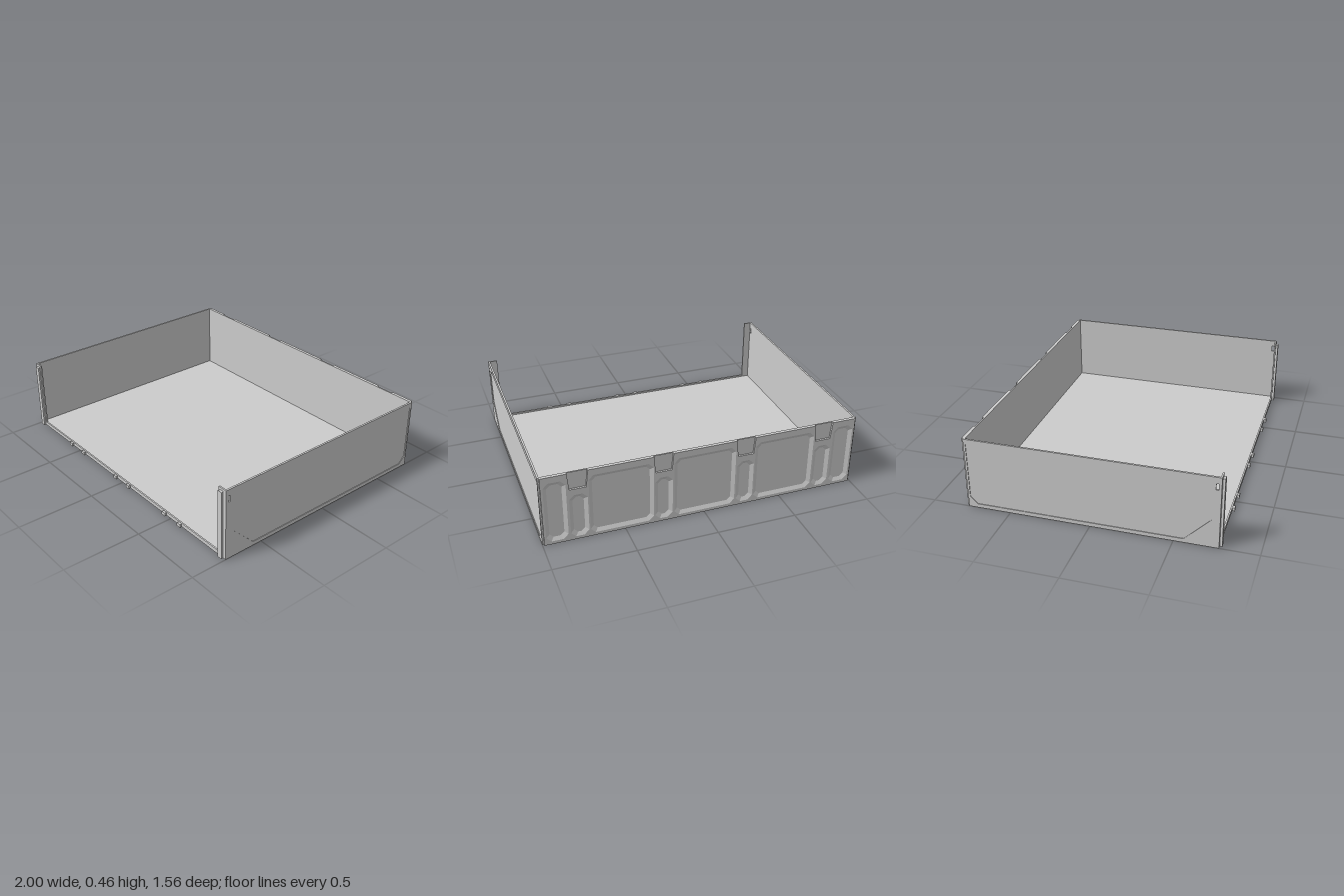
import * as THREE from 'three';

const material = new THREE.MeshStandardMaterial({ color: 0xcccccc, flatShading: true, side: THREE.DoubleSide });
const H = 0.46, FRONT = 0.765, BACK = -0.78, SKIN = -0.768;

const toPath = (points, Type = THREE.Shape) => new Type(points.map(([x, y]) => new THREE.Vector2(x, y)));
const rect = (x0, x1, y0, y1) => [[x0, y0], [x1, y0], [x1, y1], [x0, y1]];
// Rectangle with all four corners cut by c
const cutRect = ([x0, x1, y0, y1], c, inset = 0) => {
  x0 += inset; x1 -= inset; y0 += inset; y1 -= inset;
  return [[x0 + c, y0], [x1 - c, y0], [x1, y0 + c], [x1, y1 - c],
    [x1 - c, y1], [x0 + c, y1], [x0, y1 - c], [x0, y0 + c]];
};

// Flat plate from an outline and any number of cut-outs
function plate(outline, holes, depth) {
  const shape = toPath(outline);
  holes.forEach((h) => shape.holes.push(toPath(h, THREE.Path)));
  return new THREE.ExtrudeGeometry(shape, { depth, bevelEnabled: false });
}

// Sloping border that joins the rim of a recess to its floor
function slope(rim, floor) {
  const p = [];
  rim.forEach((a, i) => {
    const j = (i + 1) % rim.length;
    const A = [...a, BACK], B = [...rim[j], BACK], C = [...floor[i], SKIN], D = [...floor[j], SKIN];
    p.push(...A, ...C, ...B, ...B, ...C, ...D);
  });
  const g = new THREE.BufferGeometry();
  g.setAttribute('position', new THREE.Float32BufferAttribute(p, 3));
  g.computeVertexNormals();
  return g;
}

// Dovetail rib standing on the front edge
function dovetail(height, neck, head) {
  const z = FRONT - 0.004;
  const g = plate([[-neck, -z], [-head, -BACK], [head, -BACK], [neck, -z]].map(([x, y]) => [x, Math.abs(y)]).reverse(), [], height);
  // Stand the profile upright: shape y becomes z, depth becomes y
  g.rotateX(Math.PI / 2);
  g.translate(0, height, 0);
  return g;
}

export function createModel() {
  const model = new THREE.Group();
  const add = (name, geometry, x = 0, y = 0, z = 0, parent = model) => {
    const mesh = new THREE.Mesh(geometry, material);
    mesh.name = name;
    mesh.position.set(x, y, z);
    parent.add(mesh);
    return mesh;
  };

  // Floor with a slightly raised front lip
  add('floor', new THREE.BoxGeometry(1.98, 0.013, FRONT - SKIN), 0, 0.0065, (FRONT + SKIN) / 2);
  add('frontLip', new THREE.BoxGeometry(1.98, 0.025, 0.01), 0, 0.0125, FRONT - 0.005);

  // Side walls: thin inner skin plus an outer frame around a recessed panel
  const wall = rect(SKIN, FRONT, 0, H);
  const slot = rect(0.733, 0.748, 0.38, 0.42);
  const panel = [[0.56, 0.025], [0.715, 0.18], [0.715, 0.38], [0.665, 0.425],
    [-0.755, 0.425], [-0.755, 0.07], [-0.71, 0.025]];
  const skinT = 0.008, frameT = 0.004;
  for (const [side, s] of [['left', 1], ['right', -1]]) {
    const group = new THREE.Group();
    group.name = side + 'Side';
    model.add(group);
    const layer = (name, holes, t, outer) => {
      const g = plate(wall, holes, t);
      g.rotateY(-Math.PI / 2);
      add(name, g, s > 0 ? outer : -outer + t, 0, 0, group);
    };
    layer('wallSkin', [slot], skinT, 1 - frameT);
    layer('wallFrame', [panel, slot], frameT, 1);
    // Front flange and its upright dovetail rail
    add('frontFlange', new THREE.BoxGeometry(0.055, H, 0.01), s * 0.9675, H / 2, FRONT - 0.005, group);
    add('frontRail', dovetail(0.445, 0.01, 0.017), s * 0.965, 0, 0, group);
  }

  // Short dovetails along the front lip
  for (const x of [0.07, 0.445, 0.592]) {
    for (const s of [-1, 1]) add('lipDovetail', dovetail(0.022, 0.01, 0.016), s * x);
  }

  // Back wall: inner skin
  add('backSkin', plate(rect(-0.996, 0.996, 0, H), [], 0.009), 0, 0, SKIN);

  // Back frame outline, with four pockets open at the top
  const pockets = [-0.775, -0.26, 0.26, 0.775];
  const outline = [[-0.99, 0], [0.99, 0], [0.99, H]];
  [...pockets].reverse().forEach((x) => {
    outline.push([x + 0.06, H], [x + 0.05, 0.35], [x - 0.05, 0.35], [x - 0.06, H]);
  });
  outline.push([-0.99, H]);

  // Recesses: three wide, two narrow at the ends, one short under each pocket
  const recesses = [
    ...[-0.517, 0, 0.517].map((x) => [x - 0.195, x + 0.195, 0.02, 0.42]),
    ...[-0.91, 0.91].map((x) => [x - 0.066, x + 0.066, 0.02, 0.42]),
    ...pockets.map((x) => [x - 0.055, x + 0.055, 0.02, 0.31]),
  ];
  const rims = recesses.map((r) => cutRect(r, 0.03));
  add('backFrame', plate(outline, rims, SKIN - BACK), 0, 0, BACK);
  recesses.forEach((r, i) => add('recessBorder', slope(rims[i], cutRect(r, 0.022, 0.022))));

  return model;
}
